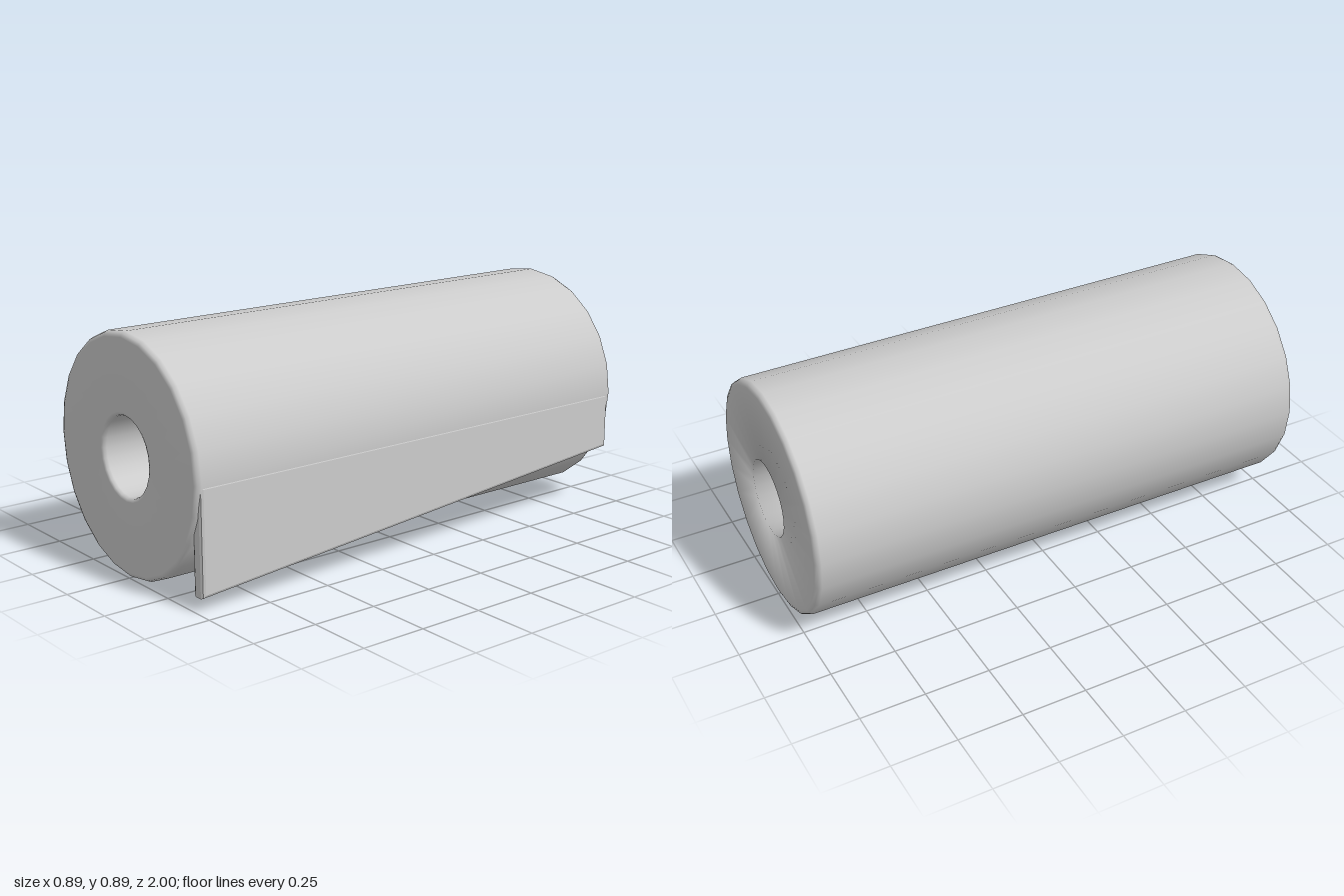
import * as THREE from 'three';

const R = 0.446;      // outer radius, also the height of the axis
const HOLE = 0.147;   // core radius

export function createModel() {
  const group = new THREE.Group();
  group.name = 'paperRoll';
  const material = new THREE.MeshStandardMaterial({ color: 0xcccccc });

  // Hollow roll: closed profile from the core wall, around the back, side and front
  const profile = [
    [HOLE, -0.7], [HOLE, -1],
    [R - 0.02, -1], [R - 0.006, -0.994], [R, -0.98],
    [R, 0.98], [R - 0.006, 0.994], [R - 0.02, 1],
    [HOLE + 0.015, 1], [HOLE + 0.004, 0.996], [HOLE, 0.985],
    [HOLE, -0.7],
  ].map(([r, z]) => new THREE.Vector2(r, z));
  const rollGeometry = new THREE.LatheGeometry(profile, 24);
  rollGeometry.rotateX(Math.PI / 2);
  const roll = new THREE.Mesh(rollGeometry, material);
  roll.name = 'roll';
  roll.position.y = R;
  group.add(roll);

  // Loose sheet end hanging from the side, its lower edge cut at a slant
  const bevel = 0.013;
  const outline = new THREE.Shape([
    [0.987 - bevel, 0.05 + bevel],
    [0.987 - bevel, R - bevel],
    [-0.982 + bevel, R - bevel],
    [-0.982 + bevel, 0.222 + bevel],
  ].map(([z, y]) => new THREE.Vector2(z, y)));
  const flapGeometry = new THREE.ExtrudeGeometry(outline, {
    depth: 0.056 - 2 * bevel,
    bevelSize: bevel,
    bevelThickness: bevel,
    bevelSegments: 2,
  });
  flapGeometry.rotateY(-Math.PI / 2);
  const flap = new THREE.Mesh(flapGeometry, material);
  flap.name = 'looseSheet';
  flap.position.x = R - bevel;
  group.add(flap);

  return group;
}
